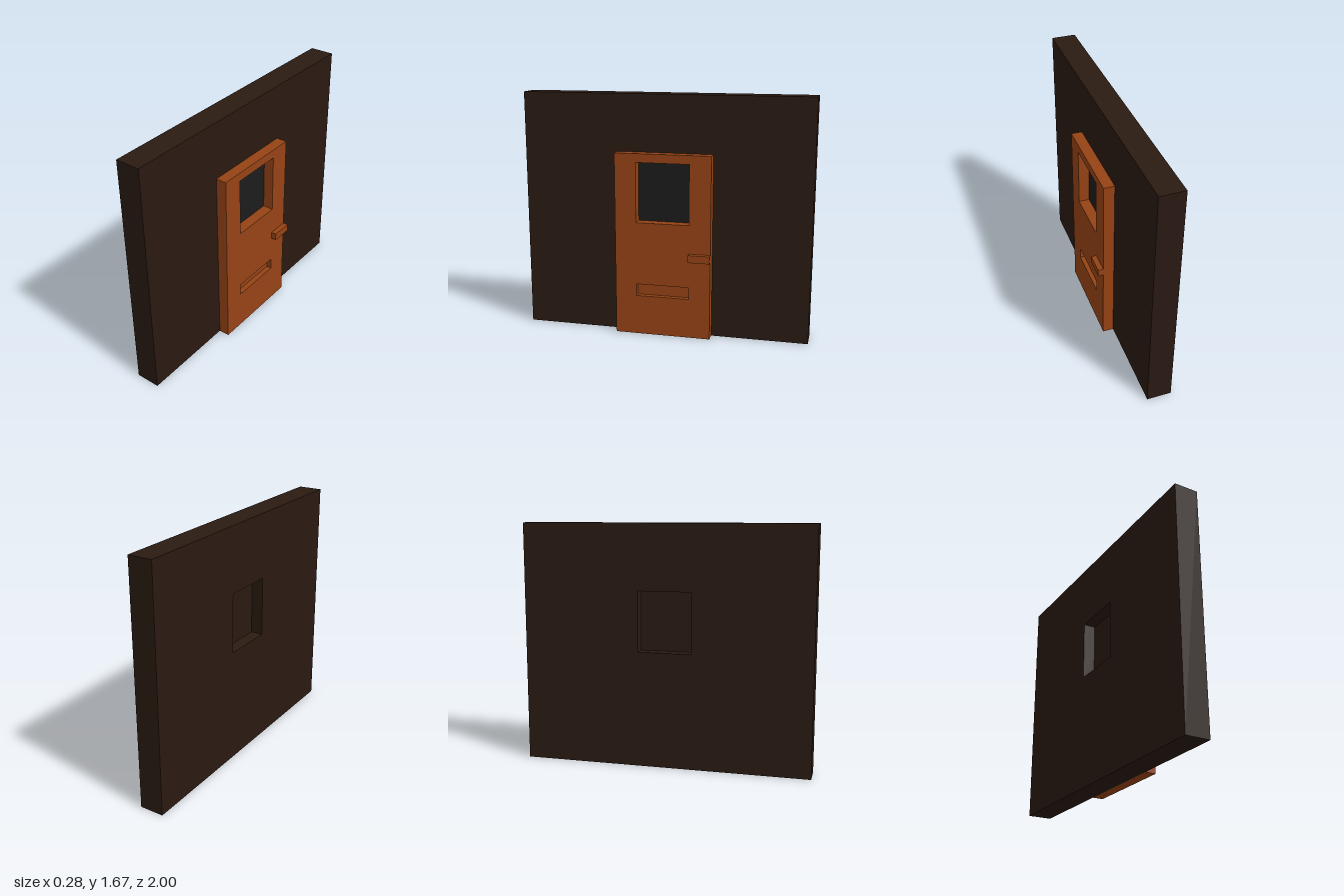
import * as THREE from 'three';

// Layers along x: wall back, recess floor, wall front, door front, handle front
const X = { back: -0.139, recess: -0.055, wall: 0.028, slot: 0.066, door: 0.103, handle: 0.139 };
// Openings as [z0, z1, y0, y1]
const WINDOW = [-0.185, 0.185, 0.8, 1.215];
const SLOT = [-0.185, 0.185, 0.278, 0.362];

const material = (color) => new THREE.MeshStandardMaterial({ color, flatShading: true });

function trace(path, [z0, z1, y0, y1]) {
  path.moveTo(-z1, y0);
  path.lineTo(-z0, y0);
  path.lineTo(-z0, y1);
  path.lineTo(-z1, y1);
  path.closePath();
  return path;
}

// Upright slab between two x positions, with rectangular openings cut through
function slab(name, mat, rect, x0, x1, holes = []) {
  const shape = trace(new THREE.Shape(), rect);
  shape.holes = holes.map((h) => trace(new THREE.Path(), h));
  const geometry = new THREE.ExtrudeGeometry(shape, { depth: x1 - x0, bevelEnabled: false });
  geometry.rotateY(Math.PI / 2).translate(x0, 0, 0);
  const mesh = new THREE.Mesh(geometry, mat);
  mesh.name = name;
  return mesh;
}

export function createModel() {
  const group = new THREE.Group();
  group.name = 'doorInWall';
  const darkWood = material(0x2a1a12);
  const orangeWood = material(0x964315);
  const glass = material(0x1c1c1c);

  group.add(
    // Wall with a window recess on its back
    slab('wall', darkWood, [-1, 1, 0, 1.667], X.back, X.wall, [WINDOW]),
    slab('windowRecessPanel', darkWood, WINDOW, X.recess, X.wall - 0.002),
    slab('windowPane', glass, WINDOW, X.wall - 0.002, X.wall + 0.001),
    // Door with window opening and shallow letter slot
    slab('door', orangeWood, [-0.333, 0.333, 0, 1.275], X.wall, X.door, [WINDOW, SLOT]),
    slab('slotPanel', orangeWood, SLOT, X.wall, X.slot),
    // Handle bar at the door's edge
    slab('handle', orangeWood, [-0.333, -0.185, 0.55, 0.602], X.door, X.handle),
  );
  return group;
}
